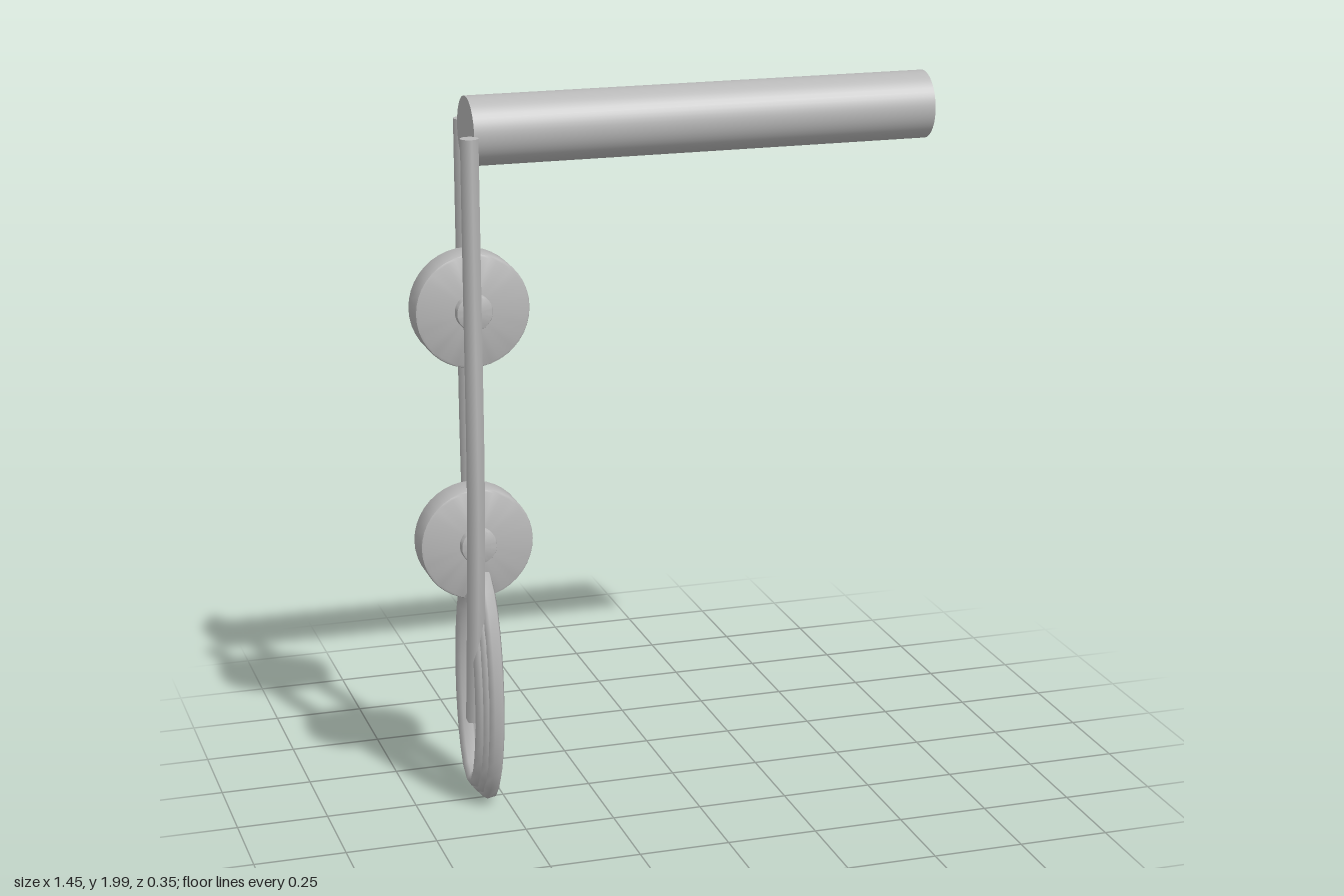
import * as THREE from 'three';
import { toCreasedNormals } from 'three/addons/utils/BufferGeometryUtils.js';

const grey = new THREE.MeshStandardMaterial({ color: 0xb8b8b8 });
grey.name = 'plain grey';

const ROPE = 0.025;
const SIDES = 6;

function part(name, geometry) {
  const mesh = new THREE.Mesh(geometry, grey);
  mesh.name = name;
  return mesh;
}

// Rope tube along a curve, closed by a flat cap at each end
function rope(name, curve, segments) {
  const group = new THREE.Group();
  group.name = name;
  group.add(part(name + 'Strand', new THREE.TubeGeometry(curve, segments, ROPE, SIDES)));
  for (const t of [0, 1]) {
    const cap = part(name + 'End', new THREE.CircleGeometry(ROPE, 12));
    const outward = curve.getTangentAt(t).multiplyScalar(t === 0 ? -1 : 1);
    cap.position.copy(curve.getPointAt(t));
    cap.quaternion.setFromUnitVectors(new THREE.Vector3(0, 0, 1), outward);
    group.add(cap);
  }
  return group;
}

// Solid disc with softened rims, its axis along z
function disc(name, radius, half, bevel) {
  const profile = [
    [0, -half], [radius - bevel, -half], [radius - bevel * 0.3, -half + bevel * 0.3],
    [radius, -half + bevel], [radius, half - bevel],
    [radius - bevel * 0.3, half - bevel * 0.3], [radius - bevel, half], [0, half],
  ].map(([r, y]) => new THREE.Vector2(r, y));
  const geometry = new THREE.LatheGeometry(profile, 40);
  geometry.rotateX(Math.PI / 2);
  return part(name, toCreasedNormals(geometry, 0.6));
}

function pulley(name, y) {
  const group = new THREE.Group();
  group.name = name;
  group.add(disc('wheel', 0.157, 0.045, 0.008), disc('axle', 0.05, 0.068, 0.006));
  group.position.set(-0.57, y, 0);
  return group;
}

// Spiral of three oval turns, growing and drifting sideways as it winds
class CoilCurve extends THREE.Curve {
  getPoint(t, target = new THREE.Vector3()) {
    const turns = 3;
    const a = t * turns * Math.PI * 2;
    return target.set(
      -0.583 + 0.04 * t,
      0.367 + (0.288 + 0.05 * t) * Math.cos(a),
      (0.118 + 0.042 * t) * Math.sin(a)
    );
  }
}

export function createModel() {
  const model = new THREE.Group();
  model.name = 'beamWithPulleysAndRope';

  // Horizontal beam
  const beam = new THREE.CylinderGeometry(0.093, 0.093, 1.29, 48);
  beam.rotateZ(Math.PI / 2);
  beam.translate(0.075, 1.907, 0);
  model.add(part('beam', beam));

  // Two wheels, one above the other
  model.add(pulley('upperPulley', 1.43), pulley('lowerPulley', 0.777));

  // Hanging strands, curving inward to loose tails
  const path = [[1.915, 0.14], [1.5, 0.14], [1.05, 0.14], [0.82, 0.13], [0.62, 0.113], [0.45, 0.093], [0.28, 0.075]];
  for (const [name, x, side] of [['frontRope', -0.595, 1], ['backRope', -0.545, -1]]) {
    const points = path.map(([y, z]) => new THREE.Vector3(x, y, z * side));
    model.add(rope(name, new THREE.CatmullRomCurve3(points), 28));
  }

  // Coiled rope hanging from the lower wheel
  model.add(rope('ropeCoil', new CoilCurve(), 84));

  return model;
}
